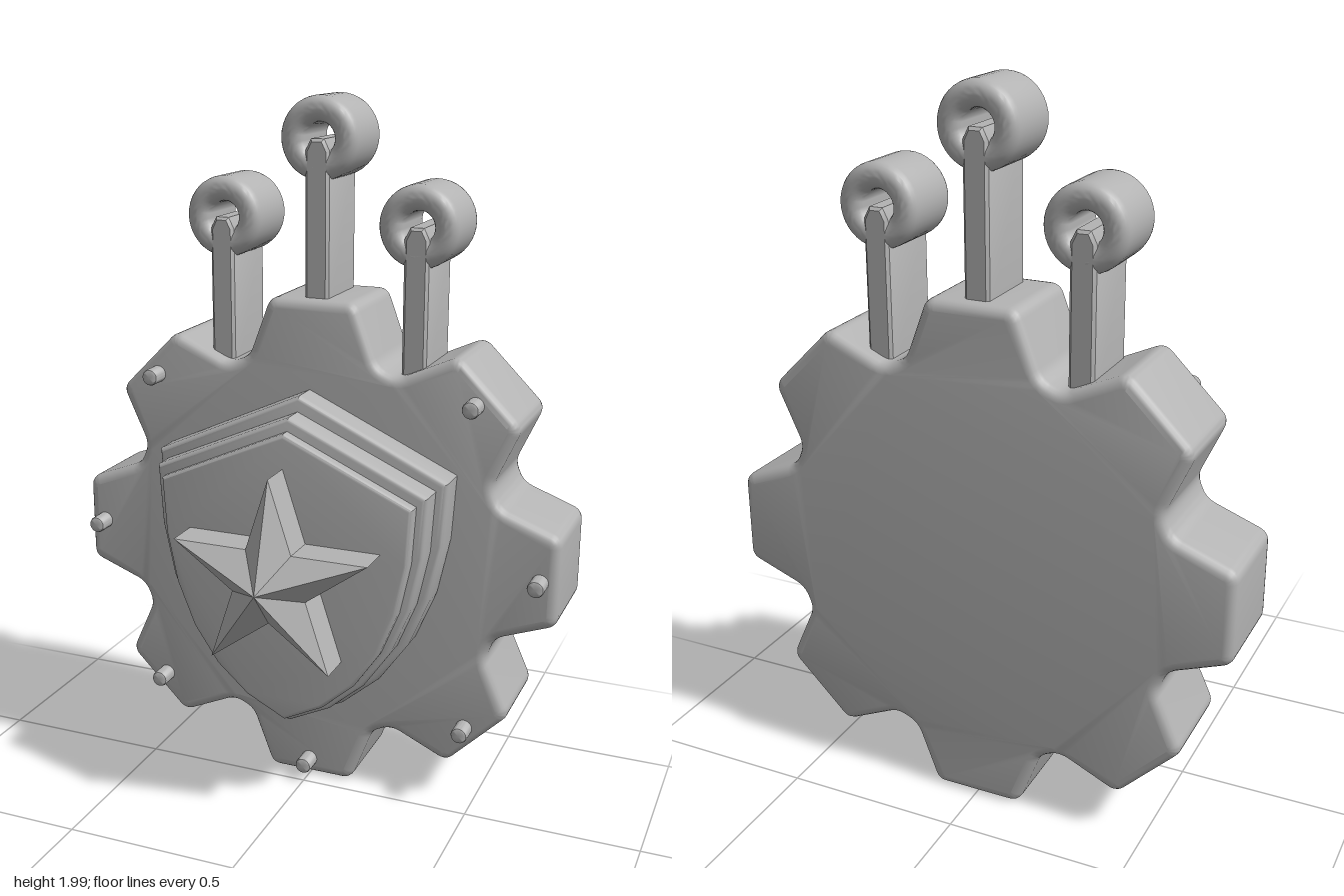
import * as THREE from 'three';
import { toCreasedNormals } from 'three/addons/utils/BufferGeometryUtils.js';

const V = (x, y) => new THREE.Vector2(x, y);
const metal = new THREE.MeshStandardMaterial({ color: 0xb3b3b3 });
metal.name = 'grey metal';

const CY = 0.735; // height of the gear centre

function part(name, geometry, x = 0, y = 0, z = 0) {
  const mesh = new THREE.Mesh(geometry, metal);
  mesh.name = name;
  mesh.position.set(x, y, z);
  return mesh;
}

// Closed outline with softened corners
function roundedShape(points, r) {
  const s = new THREE.Shape();
  points.forEach((p, i) => {
    const prev = points.at(i - 1), next = points[(i + 1) % points.length];
    const a = p.clone().add(prev.clone().sub(p).setLength(r));
    const b = p.clone().add(next.clone().sub(p).setLength(r));
    if (i === 0) s.moveTo(a.x, a.y); else s.lineTo(a.x, a.y);
    s.quadraticCurveTo(p.x, p.y, b.x, b.y);
  });
  s.closePath();
  return s;
}

// Extrusion between two z values, with the bevel kept inside the outline
function slab(shape, z0, z1, bevel, segments = 4) {
  const g = new THREE.ExtrudeGeometry(shape, {
    depth: z1 - z0 - 2 * bevel, bevelThickness: bevel, bevelSize: bevel,
    bevelOffset: -bevel, bevelSegments: segments, curveSegments: 6,
  });
  g.translate(0, 0, z0 + bevel);
  return toCreasedNormals(g, 0.6);
}

// Eight-toothed gear outline
function gearShape() {
  const pts = [];
  for (let i = 0; i < 8; i++) {
    for (const [x, y] of [[0.192, 0.55], [0.127, 0.723], [-0.127, 0.723], [-0.192, 0.55]]) {
      pts.push(V(x, y).rotateAround(V(0, 0), i * Math.PI / 4));
    }
  }
  return roundedShape(pts, 0.028);
}

// Pointed shield outline
function shieldShape(w, top, shoulder, bottom) {
  const h = shoulder - bottom;
  const s = new THREE.Shape();
  s.moveTo(0, top);
  s.lineTo(-w, shoulder);
  s.bezierCurveTo(-w * 1.0, shoulder - h * 0.5, -w * 0.68, bottom + h * 0.13, 0, bottom);
  s.bezierCurveTo(w * 0.68, bottom + h * 0.13, w * 1.0, shoulder - h * 0.5, w, shoulder);
  s.closePath();
  return s;
}

// Faceted star: straight walls below, ridged faces rising to a point
function starGeometry(z0, z1, tip) {
  const pos = [];
  const ring = Array.from({ length: 10 }, (_, i) => {
    const a = Math.PI / 2 + i * Math.PI / 5, r = i % 2 ? 0.113 : 0.297;
    return [r * Math.cos(a), r * Math.sin(a)];
  });
  ring.forEach((a, i) => {
    const b = ring[(i + 1) % 10];
    pos.push(...a, z0, ...b, z0, ...b, z1, ...a, z0, ...b, z1, ...a, z1);
    pos.push(...a, z1, ...b, z1, 0, 0, tip);
    pos.push(...b, z0, ...a, z0, 0, 0, z0);
  });
  const g = new THREE.BufferGeometry();
  g.setAttribute('position', new THREE.Float32BufferAttribute(pos, 3));
  g.computeVertexNormals();
  return g;
}

// Thick ring with rounded rims, its axis along z
function ringGeometry() {
  const h = 0.105, inner = 0.043, outer = 0.113, r = 0.032;
  const pts = [];
  for (const [cx, cy, start] of [
    [outer - r, -h + r, -Math.PI / 2], [outer - r, h - r, 0],
    [inner + r, h - r, Math.PI / 2], [inner + r, -h + r, Math.PI],
  ]) {
    for (let k = 0; k <= 5; k++) {
      const a = start + k * Math.PI / 10;
      pts.push(V(cx + r * Math.cos(a), cy + r * Math.sin(a)));
    }
  }
  pts.push(pts[0].clone());
  return toCreasedNormals(new THREE.LatheGeometry(pts, 40).rotateX(Math.PI / 2), 0.6);
}

// Flat post with a chamfered top
function postGeometry(y0, y1) {
  const w = 0.035, c = 0.016;
  const s = new THREE.Shape([
    V(-w, y0), V(w, y0), V(w, y1 - 2 * c), V(w - c, y1), V(c - w, y1), V(-w, y1 - 2 * c),
  ]);
  return slab(s, -0.3, -0.09, 0.008, 1);
}

export function createModel() {
  const group = new THREE.Group();
  group.name = 'gearBadge';

  group.add(part('gear', slab(gearShape(), -0.345, -0.047, 0.028), 0, CY));

  // Three stacked shield plates
  const plates = [
    [0.432, 1.21, 1.012, 0.245, -0.06, 0.042, 0.018],
    [0.4, 1.168, 0.99, 0.265, 0.03, 0.117, 0.016],
    [0.37, 1.132, 0.965, 0.285, 0.1, 0.15, 0.012],
  ];
  plates.forEach(([w, top, shoulder, bottom, z0, z1, bevel], i) => {
    group.add(part(`shieldPlate${i + 1}`, slab(shieldShape(w, top, shoulder, bottom), z0, z1, bevel)));
  });

  group.add(part('star', starGeometry(0.14, 0.25, 0.345), 0, 0.738));

  // Rivets on every tooth but the top one
  const rivet = toCreasedNormals(new THREE.LatheGeometry(
    [V(0, -0.05), V(0.024, -0.05), V(0.024, 0.024), V(0.022, 0.029), V(0.017, 0.032), V(0, 0.032)], 20,
  ).rotateX(Math.PI / 2), 0.6);
  for (let i = 1; i < 8; i++) {
    const a = Math.PI / 2 + i * Math.PI / 4;
    group.add(part('rivet', rivet, 0.672 * Math.cos(a), CY + 0.672 * Math.sin(a), -0.022));
  }

  // Posts carrying rings along the top
  const ring = ringGeometry();
  for (const [x, y] of [[-0.285, 1.665], [0, 1.887], [0.285, 1.665]]) {
    group.add(part('post', postGeometry(x ? 1.18 : 1.4, y), x));
    group.add(part('ring', ring, x, y, -0.195));
  }
  return group;
}
